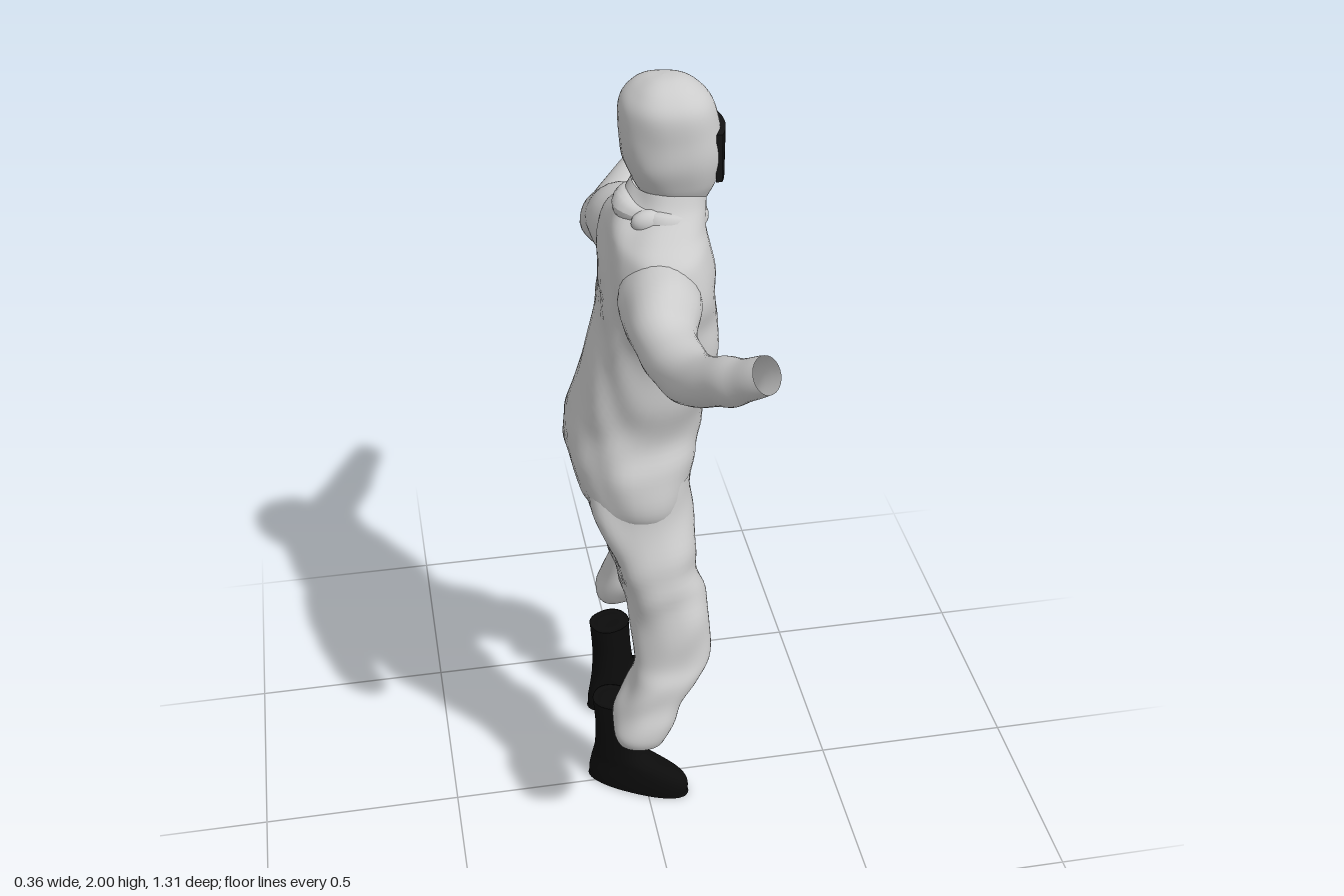
import * as THREE from 'three';
import { mergeVertices } from 'three/addons/utils/BufferGeometryUtils.js';

const material = (color) => new THREE.MeshStandardMaterial({ color, side: THREE.DoubleSide });
const cloth = material(0xcccccc);
const rubber = material(0x0c0c0c);
const glass = material(0x141414);

// Smooth interpolation through a list of rows (each row an array of numbers)
function sample(rows, t) {
  const f = t * (rows.length - 1);
  const i = Math.min(Math.floor(f), rows.length - 2);
  const u = f - i;
  const p1 = rows[i], p2 = rows[i + 1];
  const p0 = rows[Math.max(i - 1, 0)], p3 = rows[Math.min(i + 2, rows.length - 1)];
  return p1.map((b, k) => {
    const a = p0[k], c = p2[k], d = p3[k];
    return b + 0.5 * u * (c - a + u * (2 * a - 5 * b + 4 * c - d + u * (3 * (b - c) + d - a)));
  });
}

// Loft of flat rings, listed from top to bottom as [y, xMin, xMax, zMin, zMax]
function loft(rows, { n = 2.3, steps = 6, sides = 48 } = {}) {
  const pos = [], index = [];
  const count = (rows.length - 1) * steps;
  const bend = (v) => Math.sign(v) * Math.pow(Math.abs(v), 2 / n);
  for (let i = 0; i <= count; i++) {
    const [y, x0, x1, z0, z1] = sample(rows, i / count);
    for (let j = 0; j < sides; j++) {
      const a = (j / sides) * Math.PI * 2;
      pos.push((x0 + x1) / 2 + (x1 - x0) / 2 * bend(Math.cos(a)), y,
        (z0 + z1) / 2 + (z1 - z0) / 2 * bend(Math.sin(a)));
      if (i < count) {
        const p = i * sides + j, q = i * sides + (j + 1) % sides;
        index.push(p, q, p + sides, q, q + sides, p + sides);
      }
    }
  }
  const g = new THREE.BufferGeometry();
  g.setAttribute('position', new THREE.Float32BufferAttribute(pos, 3));
  g.setIndex(index);
  g.computeVertexNormals();
  return g;
}

// Tapered tube through points [x, y, z, radius]
function limb(rows, sides = 28) {
  const curve = new THREE.CatmullRomCurve3(rows.map((r) => new THREE.Vector3(r[0], r[1], r[2])));
  const segs = 48;
  let g = new THREE.TubeGeometry(curve, segs, 1, sides);
  const p = g.attributes.position, nrm = g.attributes.normal;
  for (let i = 0; i < p.count; i++) {
    const t = Math.floor(i / (sides + 1)) / segs;
    const c = curve.getPointAt(t);
    const r = sample(rows.map((w) => [w[3]]), curve.getUtoTmapping(t))[0];
    p.setXYZ(i, c.x + nrm.getX(i) * r, c.y + nrm.getY(i) * r, c.z + nrm.getZ(i) * r);
  }
  g.deleteAttribute('uv');
  g.deleteAttribute('normal');
  g = mergeVertices(g, 1e-5);
  g.computeVertexNormals();
  return g;
}

// Soft cloth folds pushed along the normals
function wrinkle(g, amount) {
  const p = g.attributes.position, n = g.attributes.normal;
  for (let i = 0; i < p.count; i++) {
    const x = p.getX(i), y = p.getY(i), z = p.getZ(i);
    const d = amount * (Math.sin(31 * y + 17 * z + 3 * Math.sin(13 * x + 9 * z))
      + 0.6 * Math.sin(47 * z - 29 * y + 21 * x + 2 * Math.sin(19 * y)));
    p.setXYZ(i, x + n.getX(i) * d, y + n.getY(i) * d, z + n.getZ(i) * d);
  }
  g.computeVertexNormals();
  return g;
}

export function createModel() {
  const model = new THREE.Group();
  const add = (name, geometry, mat = cloth, parent = model) => {
    const mesh = new THREE.Mesh(geometry, mat);
    mesh.name = name;
    parent.add(mesh);
    return mesh;
  };

  // Suit body, facing +x
  add('torso', wrinkle(loft([
    [1.76, -0.02, 0.14, -0.10, 0.06],
    [1.72, -0.045, 0.14, -0.12, 0.08],
    [1.68, -0.075, 0.135, -0.15, 0.13],
    [1.64, -0.085, 0.14, -0.205, 0.185],
    [1.57, -0.095, 0.15, -0.22, 0.2],
    [1.48, -0.1, 0.16, -0.21, 0.19],
    [1.4, -0.11, 0.165, -0.2, 0.182],
    [1.3, -0.14, 0.155, -0.2, 0.175],
    [1.2, -0.17, 0.135, -0.2, 0.165],
    [1.1, -0.18, 0.115, -0.225, 0.195],
    [1.0, -0.158, 0.105, -0.245, 0.2],
    [0.94, -0.11, 0.09, -0.18, 0.14],
    [0.89, -0.04, 0.04, -0.05, 0.02],
    [0.88, 0, 0, -0.015, -0.015],
  ]), 0.003));

  // Trouser legs, open at the cuffs
  add('frontLeg', wrinkle(loft([
    [1.08, -0.14, 0.09, 0.0, 0.185],
    [1.0, -0.15, 0.1, -0.01, 0.2],
    [0.9, -0.11, 0.1, -0.01, 0.23],
    [0.8, -0.08, 0.11, 0.055, 0.25],
    [0.7, -0.06, 0.13, 0.1, 0.265],
    [0.62, -0.055, 0.125, 0.132, 0.277],
    [0.57, -0.068, 0.09, 0.148, 0.3],
    [0.5, -0.1, 0.045, 0.16, 0.315],
    [0.44, -0.117, 0.02, 0.17, 0.328],
    [0.41, -0.11, 0.01, 0.185, 0.32],
  ]), 0.004));
  add('backLeg', wrinkle(loft([
    [1.08, -0.13, 0.1, -0.215, 0.0],
    [1.0, -0.14, 0.1, -0.245, 0.0],
    [0.9, -0.09, 0.11, -0.277, -0.02],
    [0.8, -0.055, 0.13, -0.295, -0.1],
    [0.7, -0.035, 0.155, -0.315, -0.14],
    [0.6, -0.03, 0.152, -0.338, -0.192],
    [0.55, -0.04, 0.125, -0.35, -0.205],
    [0.48, -0.06, 0.095, -0.363, -0.21],
    [0.42, -0.075, 0.065, -0.375, -0.235],
    [0.395, -0.065, 0.05, -0.368, -0.25],
  ]), 0.004));

  // Sleeves, open at the wrists
  add('frontArm', wrinkle(limb([
    [0.02, 1.57, 0.1, 0.085], [0.0, 1.565, 0.2, 0.086], [-0.008, 1.545, 0.3, 0.067],
    [0.008, 1.542, 0.4, 0.06], [0.045, 1.573, 0.5, 0.053], [0.1, 1.63, 0.59, 0.044],
    [0.127, 1.655, 0.622, 0.036],
  ]), 0.0025));
  add('backArm', wrinkle(limb([
    [0.02, 1.58, -0.1, 0.085], [0.0, 1.565, -0.2, 0.092], [-0.013, 1.54, -0.28, 0.075],
    [-0.022, 1.49, -0.37, 0.066], [0.005, 1.46, -0.46, 0.06], [0.06, 1.478, -0.56, 0.05],
    [0.13, 1.527, -0.632, 0.036],
  ]), 0.0025));

  // Hood
  add('hood', wrinkle(loft([
    [2.0, 0.045, 0.045, -0.02, -0.02],
    [1.995, 0.01, 0.085, -0.055, 0.015],
    [1.975, -0.022, 0.12, -0.09, 0.052],
    [1.94, -0.046, 0.15, -0.118, 0.078],
    [1.88, -0.05, 0.168, -0.126, 0.083],
    [1.82, -0.042, 0.17, -0.126, 0.083],
    [1.77, -0.022, 0.162, -0.112, 0.068],
    [1.73, 0.0, 0.145, -0.098, 0.05],
    [1.68, 0.01, 0.12, -0.09, 0.045],
  ], { n: 2.35 }), 0.0012));

  // Gathered cloth around the neck
  const roll = new THREE.TorusGeometry(0.085, 0.024, 14, 48);
  roll.rotateX(Math.PI / 2);
  roll.rotateZ(-0.2);
  roll.translate(0.042, 1.7, -0.015);
  add('neckFold', wrinkle(roll, 0.004));
  const puff = add('neckGather', new THREE.SphereGeometry(0.03, 20, 14));
  puff.scale.set(1.3, 0.9, 0.8);
  puff.position.set(0, 1.705, 0.065);

  // Curved face window, a little narrower at its lower edge
  const pane = new THREE.BoxGeometry(0.014, 0.112, 0.15, 1, 6, 16);
  const p = pane.attributes.position;
  for (let i = 0; i < p.count; i++) {
    const z = p.getZ(i) * (0.97 + 0.7 * p.getY(i));
    p.setXYZ(i, p.getX(i) + 0.171 - 3.2 * z * z, p.getY(i) + 1.83, z - 0.025);
  }
  pane.computeVertexNormals();
  add('visor', pane, glass);

  // Boots, separate from the cuffs and turned outwards
  const bootShape = loft([
    [0.285, 0, 0, 0, 0],
    [0.285, -0.048, 0.05, -0.043, 0.043],
    [0.28, -0.052, 0.054, -0.046, 0.046],
    [0.2, -0.047, 0.06, -0.044, 0.044],
    [0.13, -0.05, 0.072, -0.042, 0.042],
    [0.1, -0.055, 0.1, -0.042, 0.042],
    [0.08, -0.06, 0.155, -0.043, 0.043],
    [0.06, -0.064, 0.192, -0.046, 0.046],
    [0.035, -0.068, 0.205, -0.049, 0.049],
    [0.008, -0.068, 0.203, -0.049, 0.049],
    [0.003, -0.06, 0.195, -0.043, 0.043],
    [0.003, 0.06, 0.06, 0, 0],
  ], { n: 2.3, steps: 4 });
  for (const [name, x, y, z, turn] of [
    ['frontBoot', -0.077, 0, -0.008, -0.5],
    ['backBoot', -0.04, 0.008, -0.3, 0.42],
  ]) {
    const boot = add(name, bootShape, rubber);
    boot.position.set(x, y, z);
    boot.rotation.y = turn;
  }

  return model;
}
